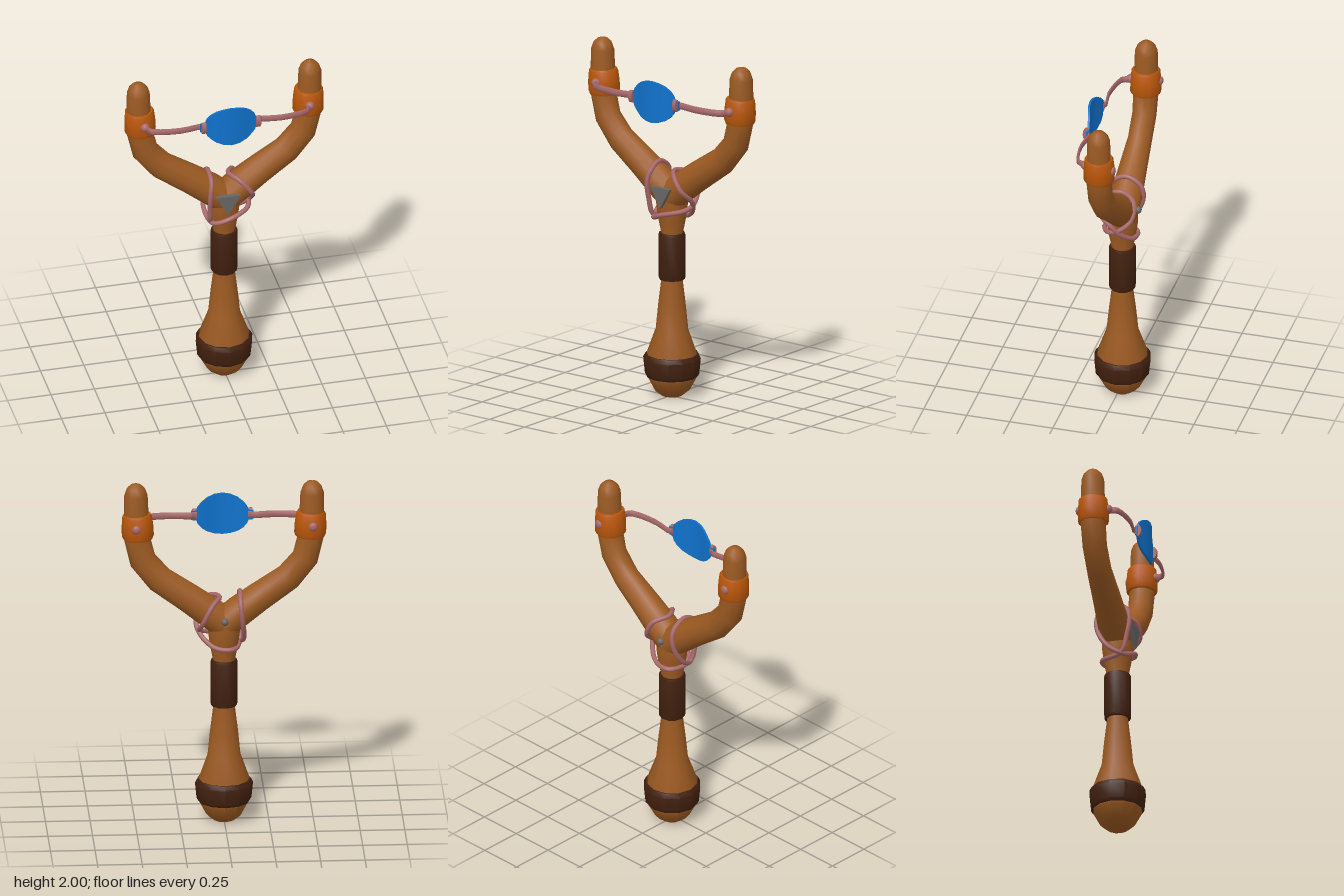
import * as THREE from 'three';
import { toCreasedNormals } from 'three/addons/utils/BufferGeometryUtils.js';

const CZ = -0.015; // depth of the wooden frame's axis

const paint = (name, color) => {
  const m = new THREE.MeshStandardMaterial({ color });
  m.name = name;
  return m;
};

// Sweep an ellipse along a path in the XY plane; stations are [x, y, inPlaneRadius, depthRadius]
function sweep(stations, sides = 12) {
  const pos = [], idx = [];
  stations.forEach(([x, y, r, d = r], i) => {
    const a = stations[Math.max(i - 1, 0)];
    const b = stations[Math.min(i + 1, stations.length - 1)];
    const len = Math.hypot(b[0] - a[0], b[1] - a[1]);
    const tx = (b[0] - a[0]) / len, ty = (b[1] - a[1]) / len;
    for (let j = 0; j < sides; j++) {
      const t = (j / sides) * Math.PI * 2;
      pos.push(x - ty * r * Math.cos(t), y + tx * r * Math.cos(t), d * Math.sin(t));
      if (i < stations.length - 1) {
        const p = i * sides + j, q = i * sides + (j + 1) % sides;
        idx.push(p, q, p + sides, q, q + sides, p + sides);
      }
    }
  });
  const g = new THREE.BufferGeometry();
  g.setAttribute('position', new THREE.Float32BufferAttribute(pos, 3));
  g.setIndex(idx);
  g.computeVertexNormals();
  return g;
}

const lathe = (profile, sides = 12) => toCreasedNormals(
  new THREE.LatheGeometry(profile.map(([r, y]) => new THREE.Vector2(r, y)), sides), 0.65);

export function createModel() {
  const wood = paint('wood', 0x9c5a22);
  const leather = paint('dark leather', 0x41200f);
  const orange = paint('orange wrap', 0xb9560a);
  const pink = paint('pink rubber', 0xa8686a);
  const blue = paint('blue pouch', 0x0f72cc);
  const grey = paint('grey metal', 0x666666);

  const model = new THREE.Group();
  const add = (name, geometry, material, x = 0, y = 0, z = 0) => {
    const mesh = new THREE.Mesh(geometry, material);
    mesh.name = name;
    mesh.position.set(x, y, z);
    model.add(mesh);
    return mesh;
  };

  // Handle with its pommel, widening into the fork
  add('handle', lathe([[0, 0], [0.06, 0.003], [0.1, 0.035], [0.14, 0.11], [0.145, 0.24],
    [0.092, 0.39], [0.078, 0.53], [0.06, 0.68], [0.062, 0.95], [0.08, 1.04], [0.09, 1.12],
    [0.085, 1.2], [0, 1.27]]), wood, 0, 0, CZ);
  add('pommelBand', lathe([[0.13, 0.115], [0.145, 0.115], [0.154, 0.13], [0.163, 0.22],
    [0.15, 0.245], [0.13, 0.245]]), leather, 0, 0, CZ);
  add('grip', lathe([[0.05, 0.68], [0.072, 0.68], [0.077, 0.695], [0.077, 0.935],
    [0.072, 0.95], [0.05, 0.95]]), leather, 0, 0, CZ);

  for (const s of [1, -1]) {
    const side = s > 0 ? 'left' : 'right';

    // Fork arm with a rounded tip
    add(side + 'ForkArm', sweep([[0, 1.165, 0.088, 0.09], [0.08, 1.23, 0.09, 0.093],
      [0.195, 1.315, 0.085, 0.083], [0.36, 1.43, 0.08, 0.07], [0.455, 1.545, 0.076, 0.07],
      [0.488, 1.68, 0.073], [0.492, 1.8, 0.07], [0.494, 1.93, 0.066], [0.494, 1.97, 0.052],
      [0.494, 1.992, 0.03], [0.494, 2, 0.001]].map(([x, ...rest]) => [s * x, ...rest])),
    wood, 0, 0, CZ);

    // Collar around the arm
    const collar = add(side + 'Collar', lathe([[0.06, -0.073], [0.083, -0.073], [0.09, -0.055],
      [0.089, 0], [0.083, 0.06], [0.077, 0.072], [0.06, 0.072]]), orange, s * 0.485, 1.748, CZ);
    collar.rotation.z = -s * 0.04;

    // Beads on the front and back of the collar
    add(side + 'FrontBead', new THREE.SphereGeometry(0.027, 10, 8), pink, s * 0.475, 1.752, 0.068);
    add(side + 'BackBead', new THREE.SphereGeometry(0.026, 10, 8), pink, s * 0.495, 1.752, -0.098)
      .scale.z = 0.6;

    // Flat rubber strap running from the collar to the pouch
    const strap = sweep([[0.465, 0.055, 0.001], [0.465, 0.06, 0.009, 0.02], [0.462, 0.095, 0.009, 0.02],
      [0.447, 0.118, 0.009, 0.02], [0.4, 0.132, 0.008, 0.02], [0.34, 0.141, 0.008, 0.02],
      [0.285, 0.144, 0.008, 0.02], [0.23, 0.138, 0.008, 0.02], [0.185, 0.13, 0.008, 0.02],
      [0.163, 0.137, 0.008, 0.02], [0.158, 0.15, 0.008, 0.02], [0.158, 0.155, 0.001]]
      .map(([x, ...rest]) => [s * x, ...rest]), 8);
    strap.rotateX(Math.PI / 2);
    add(side + 'Strap', strap, pink, 0, 1.75, 0);

    // Knot tying the strap to the pouch
    const knot = new THREE.CylinderGeometry(0.036, 0.036, 0.024, 10);
    knot.rotateZ(Math.PI / 2).scale(1, 1, 0.5);
    add(side + 'Knot', knot, pink, s * 0.156, 1.752, 0.152);
  }

  // Curved pouch: a thin slab shaped by stations of [x, halfHeight, z]
  const stations = [[0, 0.121, 0.17], [0.045, 0.115, 0.166], [0.085, 0.1, 0.156], [0.115, 0.078, 0.147],
    [0.138, 0.052, 0.144], [0.147, 0.028, 0.143], [0.175, 0.026, 0.143]];
  const pouch = new THREE.BoxGeometry(12, 2, 0.012, 12, 1, 1);
  const p = pouch.attributes.position;
  for (let i = 0; i < p.count; i++) {
    const k = Math.round(p.getX(i));
    const [x, h, z] = stations[Math.abs(k)];
    p.setXYZ(i, Math.sign(k) * x, p.getY(i) * h, p.getZ(i) + z);
  }
  pouch.computeVertexNormals();
  add('pouch', pouch, blue, 0, 1.75, 0);

  // Cord wound twice around the crotch of the fork
  const cord = new THREE.CatmullRomCurve3([
    [-0.09, 1.35, -0.015], [-0.09, 1.315, 0.06], [-0.1, 1.25, 0.083], [-0.1, 1.15, 0.068],
    [-0.092, 1.05, 0.035], [-0.05, 1.03, -0.088], [0.05, 1.04, -0.092], [0.13, 1.1, -0.04],
    [0.156, 1.16, 0.005], [0.135, 1.23, 0.077], [0.075, 1.305, 0.063], [0.025, 1.318, -0.015],
    [0.07, 1.29, -0.098], [0.115, 1.2, -0.1], [0.14, 1.13, -0.03], [0.125, 1.105, 0.03],
    [0, 1.07, 0.085], [-0.08, 1.04, 0.05], [-0.11, 1.08, -0.035], [-0.1, 1.2, -0.105],
    [-0.09, 1.3, -0.098]].map(v => new THREE.Vector3(...v)), true);
  add('forkCord', new THREE.TubeGeometry(cord, 120, 0.014, 8, true), pink);

  // Metal triangle on the front and stud on the back
  const triangle = new THREE.Shape([[-0.07, 1.23], [0, 1.11], [0.07, 1.23]]
    .map(v => new THREE.Vector2(...v)));
  add('frontPlate', new THREE.ExtrudeGeometry(triangle, { depth: 0.025, bevelEnabled: false }),
    grey, 0, 0, 0.07);
  add('backStud', new THREE.SphereGeometry(0.021, 10, 8), grey, 0, 1.2, -0.106);

  return model;
}
